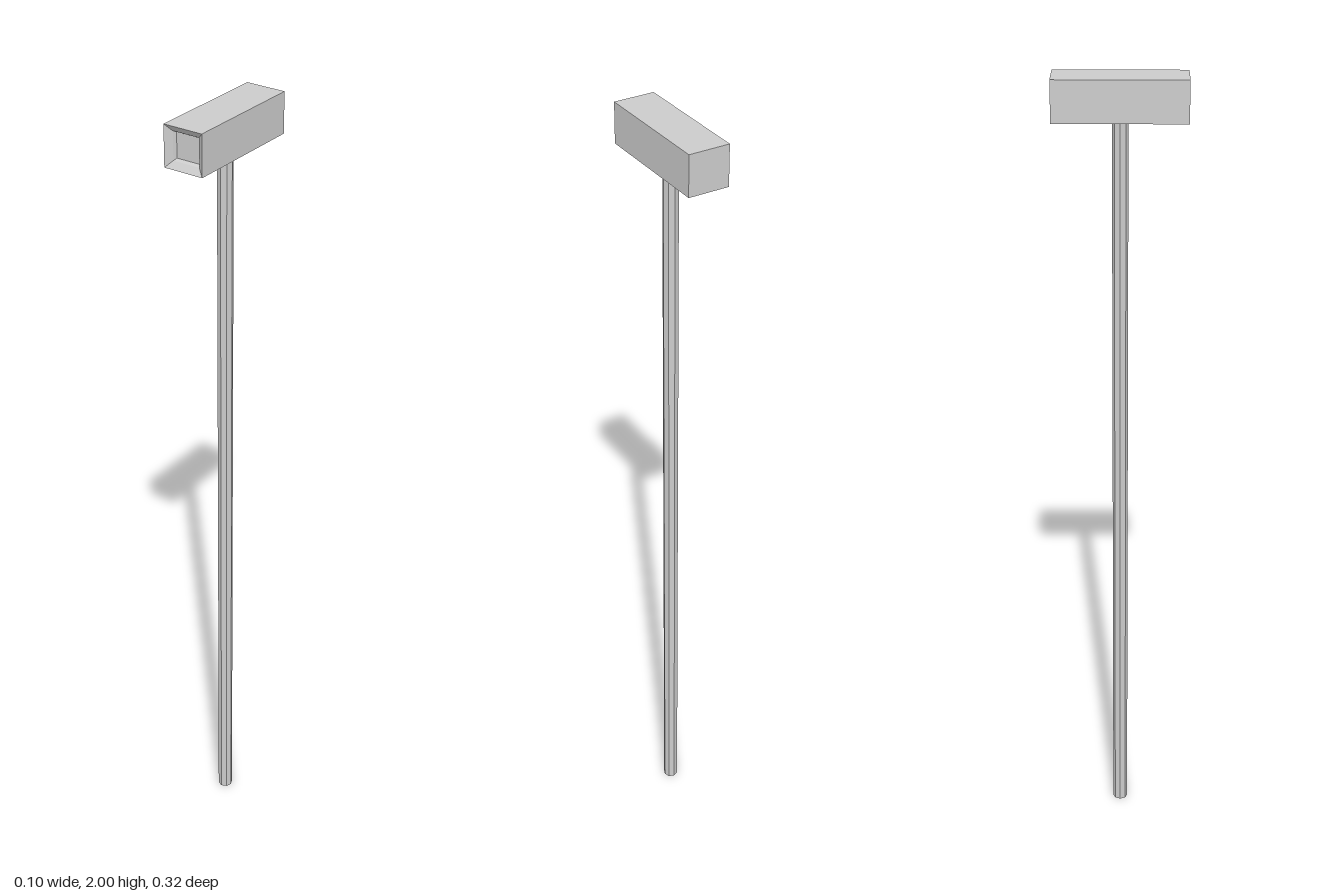
import * as THREE from 'three';

// Square rings [halfWidth, halfHeight, z] joined in sequence, capped at both ends
function squareLoft(rings) {
  const corners = [[-1, -1], [1, -1], [1, 1], [-1, 1]];
  const points = rings.map(([w, h, z]) => corners.map(([x, y]) => [x * w, y * h, z]));
  const pos = [];
  const quad = (a, b, c, d) => pos.push(...a, ...b, ...c, ...a, ...c, ...d);
  const first = points[0], last = points[points.length - 1];
  quad(first[3], first[2], first[1], first[0]);
  for (let i = 0; i + 1 < points.length; i++) {
    for (let j = 0; j < 4; j++) {
      const k = (j + 1) % 4;
      quad(points[i][j], points[i][k], points[i + 1][k], points[i + 1][j]);
    }
  }
  quad(last[0], last[1], last[2], last[3]);
  const geometry = new THREE.BufferGeometry();
  geometry.setAttribute('position', new THREE.Float32BufferAttribute(pos, 3));
  geometry.computeVertexNormals();
  return geometry;
}

export function createModel() {
  const group = new THREE.Group();
  group.name = 'cameraOnPole';
  const material = new THREE.MeshStandardMaterial({ color: 0xcccccc, flatShading: true });

  // Slim octagonal pole
  const height = 1.9;
  const pole = new THREE.Mesh(new THREE.CylinderGeometry(0.019, 0.019, height, 8), material);
  pole.name = 'pole';
  pole.position.y = height / 2;
  group.add(pole);

  // Box housing with a bevelled, recessed window in the front
  const housing = new THREE.Mesh(squareLoft([
    [0.051, 0.05, -0.158],
    [0.051, 0.05, 0.158],
    [0.035, 0.034, 0.146],
    [0.031, 0.03, 0.138],
  ]), material);
  housing.name = 'cameraHousing';
  housing.position.y = 1.95;
  group.add(housing);

  return group;
}
